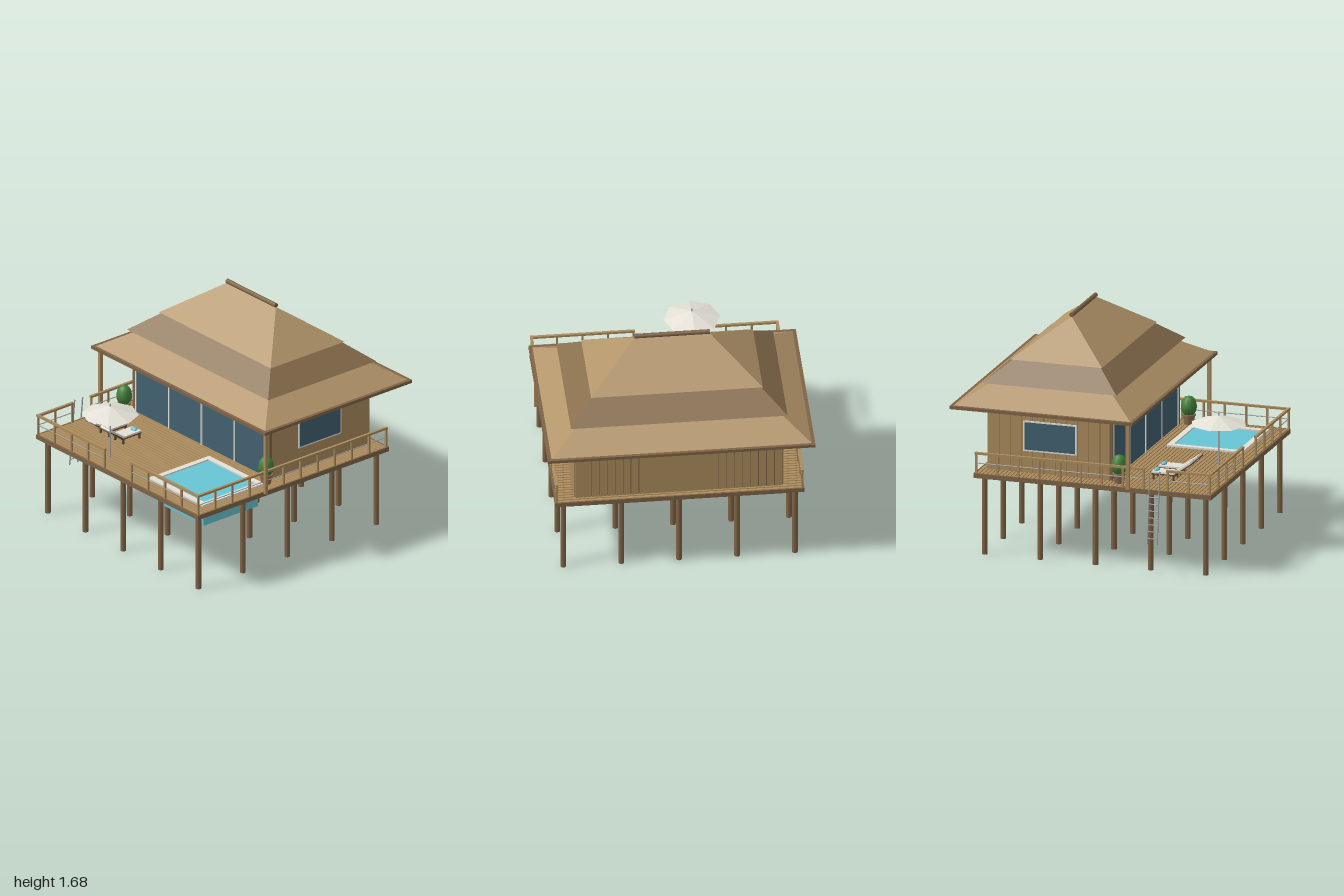
import * as THREE from 'three';

const mat = (name, color) => {
  const m = new THREE.MeshStandardMaterial({ color });
  m.name = name;
  return m;
};

export function createModel() {
  const thatch = mat('thatch', 0xb29469);
  const darkThatch = mat('dark thatch', 0x886e4c);
  const wood = mat('tan wood', 0xac8c5d);
  const darkWood = mat('brown wood', 0x7f6446);
  const espresso = mat('dark brown slats', 0x614632);
  const white = mat('off white', 0xe4e0d6);
  const glass = mat('blue glass', 0x426171);
  const water = mat('pool water', 0x67c4d4);
  const green = mat('leaf green', 0x437f38);
  const metal = mat('grey metal', 0xa2a4a6);
  white.side = THREE.DoubleSide;

  const model = new THREE.Group();
  model.name = 'stiltVilla';
  const group = (name) => {
    const g = new THREE.Group();
    g.name = name;
    model.add(g);
    return g;
  };
  const add = (parent, name, geo, m, x = 0, y = 0, z = 0) => {
    const mesh = new THREE.Mesh(geo, m);
    mesh.name = name;
    mesh.position.set(x, y, z);
    parent.add(mesh);
    return mesh;
  };
  // box given by its lower and upper limits
  const box = (parent, name, m, x0, x1, y0, y1, z0, z1) =>
    add(parent, name, new THREE.BoxGeometry(x1 - x0, y1 - y0, z1 - z0), m, (x0 + x1) / 2, (y0 + y1) / 2, (z0 + z1) / 2);
  // round bar between two points
  const bar = (parent, name, m, a, b, r, sides = 8) => {
    const p = new THREE.Vector3(...a), q = new THREE.Vector3(...b);
    const mesh = add(parent, name, new THREE.CylinderGeometry(r, r, p.distanceTo(q), sides), m);
    mesh.position.copy(p).add(q).multiplyScalar(0.5);
    mesh.quaternion.setFromUnitVectors(new THREE.Vector3(0, 1, 0), q.sub(p).normalize());
    return mesh;
  };

  // Stilts, with beams along the outer and middle rows
  const stilts = group('stilts');
  const pileX = [-0.83, -0.415, 0.003, 0.417, 0.834], pileZ = [0.89, 0.475, 0.06, -0.357, -0.775];
  pileX.forEach((x, i) => {
    for (const z of pileZ) {
      if (x === 0.417 && z === 0.475) continue; // the pool hangs here
      add(stilts, 'stilt', new THREE.CylinderGeometry(0.021, 0.021, 0.58, 12), darkWood, x, 0.29, z);
    }
    if (i % 2 === 0) box(stilts, 'beam', darkWood, x - 0.018, x + 0.018, 0.565, 0.585, -0.82, 0.93);
  });

  // Deck: brown core around the pool opening, with planks showing above and below
  const DX0 = -0.892, DX1 = 0.898, DZ0 = -0.84, DZ1 = 0.95;
  const PX0 = 0.235, PX1 = 0.775, PZ0 = 0.283, PZ1 = 0.792;
  const deck = group('deck');
  const core = (x0, x1, z0, z1) => box(deck, 'deckCore', darkWood, x0, x1, 0.583, 0.604, z0, z1);
  core(DX0, PX0, DZ0, DZ1);
  core(PX1, DX1, DZ0, DZ1);
  core(PX0, PX1, DZ0, PZ0);
  core(PX0, PX1, PZ1, DZ1);
  const rows = 60, pitch = (DZ1 - DZ0 - 0.024) / rows;
  for (let i = 0; i < rows; i++) {
    const z0 = DZ0 + 0.012 + i * pitch, z1 = z0 + pitch - 0.007;
    const cut = z1 > PZ0 && z0 < PZ1;
    const spans = cut ? [[DX0 + 0.012, PX0], [PX1, DX1 - 0.012]] : [[DX0 + 0.012, DX1 - 0.012]];
    for (const [a, b] of spans) box(deck, 'deckPlank', wood, a, b, 0.579, 0.61, z0, z1);
  }
  for (const [a, b, c, d] of [[DX0, DX0 + 0.012, DZ0, DZ1], [DX1 - 0.012, DX1, DZ0, DZ1],
    [DX0, DX1, DZ0, DZ0 + 0.012], [DX0, DX1, DZ1 - 0.012, DZ1]])
    box(deck, 'deckEdge', darkWood, a, b, 0.577, 0.611, c, d);

  // Pool hung through the deck, with a pale rim
  const pool = group('pool');
  box(pool, 'poolTank', water, PX0, PX1, 0.442, 0.612, PZ0, PZ1);
  const rim = (x0, x1, z0, z1) => box(pool, 'poolRim', white, x0, x1, 0.606, 0.622, z0, z1);
  rim(0.198, 0.24, 0.25, 0.82);
  rim(0.76, 0.803, 0.25, 0.82);
  rim(0.24, 0.76, 0.25, 0.292);
  rim(0.24, 0.76, 0.777, 0.82);

  // Railings: posts, a wooden top rail and a thin middle rail
  const railings = group('railings');
  const railing = (ax, az, bx, bz, bays) => {
    const t = 0.007;
    for (let i = 0; i <= bays; i++) {
      const x = ax + (bx - ax) * i / bays, z = az + (bz - az) * i / bays;
      box(railings, 'railPost', wood, x - t, x + t, 0.61, 0.755, z - t, z + t);
    }
    const [x0, x1, z0, z1] = [Math.min(ax, bx), Math.max(ax, bx), Math.min(az, bz), Math.max(az, bz)];
    box(railings, 'topRail', wood, x0 - 0.01, x1 + 0.01, 0.752, 0.768, z0 - 0.01, z1 + 0.01);
    bar(railings, 'middleRail', metal, [ax, 0.687, az], [bx, 0.687, bz], 0.004, 6);
  };
  railing(-0.88, 0.938, -0.145, 0.938, 4);
  railing(0.153, 0.938, 0.886, 0.938, 4);
  railing(0.886, 0.938, 0.886, -0.822, 11);
  railing(-0.88, 0.938, -0.88, 0.62, 2);
  railing(-0.88, 0.44, -0.88, -0.822, 8);

  // Ladder leaning on the open side
  const ladder = group('ladder');
  const ladderX = (y) => -0.967 + (y - 0.23) * 0.105;
  for (const z of [0.495, 0.57])
    bar(ladder, 'ladderRail', metal, [ladderX(0.23), 0.23, z], [ladderX(0.76), 0.76, z], 0.005);
  for (let y = 0.27; y < 0.62; y += 0.05)
    bar(ladder, 'rung', metal, [ladderX(y), y, 0.495], [ladderX(y), y, 0.57], 0.004, 6);

  // House body, boarded on the sides and back
  const house = group('house');
  const HX0 = -0.74, HX1 = 0.748, HZ0 = -0.778, HZ1 = 0.15;
  box(house, 'wallCore', darkWood, HX0, HX1, 0.605, 1.095, HZ0, HZ1);
  const backN = 26, bw = (HX1 - HX0) / backN;
  for (let i = 0; i < backN; i++) {
    if (i > 7 && i < 18) continue; // smooth panel in the middle
    box(house, 'backBoard', wood, HX0 + i * bw + 0.003, HX0 + (i + 1) * bw - 0.003, 0.61, 1.085, HZ0 - 0.008, HZ0 + 0.01);
  }
  box(house, 'backPanel', wood, HX0 + 8 * bw + 0.003, HX0 + 18 * bw - 0.003, 0.61, 1.085, HZ0 - 0.008, HZ0 + 0.01);
  const sideN = 11, sw = (HZ1 - HZ0) / sideN;
  for (const x of [HX0, HX1]) {
    const out = Math.sign(x);
    for (let i = 0; i < sideN; i++)
      box(house, 'sideBoard', wood, x - 0.008, x + 0.008, 0.61, 1.085, HZ0 + i * sw + 0.002, HZ0 + (i + 1) * sw - 0.002);
    box(house, 'windowFrame', white, x + out * 0.01 - 0.006, x + out * 0.01 + 0.006, 0.772, 0.997, -0.51, -0.108);
    box(house, 'windowPane', glass, x + out * 0.014 - 0.004, x + out * 0.014 + 0.004, 0.783, 0.986, -0.498, -0.12);
    box(house, 'cornerPost', darkWood, x - 0.012, x + 0.012, 0.61, 1.09, HZ1 - 0.012, HZ1 + 0.012);
  }
  box(house, 'header', darkWood, HX0, HX1, 1.062, 1.09, HZ1 - 0.01, HZ1 + 0.014);

  // Glass front with pale frames
  box(house, 'glassFront', glass, -0.72, 0.728, 0.612, 1.05, HZ1, HZ1 + 0.006);
  box(house, 'glassHead', white, -0.728, 0.736, 1.045, 1.062, HZ1, HZ1 + 0.014);
  for (const x of [-0.72, -0.358, 0.004, 0.366, 0.728])
    box(house, 'mullion', white, x - 0.006, x + 0.006, 0.61, 1.05, HZ1, HZ1 + 0.012);
  for (const x of [-0.91, 0.917])
    box(house, 'porchPost', wood, x - 0.012, x + 0.012, 0.605, 1.095, 0.318, 0.342);

  // Hipped roof in three tiers
  const roof = group('roof');
  roof.position.set(0.005, 0, -0.311);
  const tier = (name, m, [ax, az, ay], [bx, bz, by]) => {
    const ring = (x, y, z) => [[-x, y, z], [x, y, z], [x, y, -z], [-x, y, -z]];
    const lo = ring(ax, ay, az), hi = ring(bx, by, bz), pos = [];
    const quad = (a, b, c, d) => pos.push(...a, ...b, ...c, ...a, ...c, ...d);
    for (let i = 0; i < 4; i++) quad(lo[i], lo[(i + 1) % 4], hi[(i + 1) % 4], hi[i]);
    quad(...lo.slice().reverse());
    const geo = new THREE.BufferGeometry();
    geo.setAttribute('position', new THREE.Float32BufferAttribute(pos, 3));
    geo.computeVertexNormals();
    add(roof, name, geo, m);
  };
  box(roof, 'eavesBoard', darkWood, -0.96, 0.96, 1.092, 1.115, -0.689, 0.689);
  box(roof, 'soffit', white, -0.945, 0.945, 1.088, 1.094, -0.674, 0.674);
  tier('lowerRoof', thatch, [0.942, 0.674, 1.11], [0.69, 0.42, 1.27]);
  tier('middleRoof', darkThatch, [0.778, 0.507, 1.253], [0.59, 0.32, 1.405]);
  tier('upperRoof', thatch, [0.617, 0.346, 1.398], [0.27, 0.002, 1.652]);
  bar(roof, 'ridgeCap', darkWood, [-0.271, 1.665, 0], [0.271, 1.665, 0], 0.017, 12);

  // Parasol
  const parasol = group('parasol');
  parasol.position.set(-0.252, 0, 0.795);
  const canopy = new THREE.ConeGeometry(0.205, 0.062, 8, 1, true).toNonIndexed();
  canopy.computeVertexNormals();
  add(parasol, 'canopy', canopy, white, 0, 0.987, 0);
  add(parasol, 'pole', new THREE.CylinderGeometry(0.006, 0.006, 0.43, 8), metal, 0, 0.822, 0);

  // Two sun loungers with raised backs and rolled towels
  for (const x of [-0.571, -0.413]) {
    const lounger = group('lounger');
    lounger.position.set(x, 0, 0);
    box(lounger, 'loungerFrame', espresso, -0.052, 0.052, 0.646, 0.655, 0.412, 0.59);
    box(lounger, 'seatCushion', white, -0.05, 0.05, 0.655, 0.668, 0.41, 0.585);
    const back = new THREE.Group();
    back.name = 'loungerBack';
    back.position.set(0, 0.65, 0.578);
    back.rotation.x = -0.62;
    lounger.add(back);
    box(back, 'backFrame', espresso, -0.055, 0.055, -0.004, 0.005, 0, 0.165);
    box(back, 'backCushion', white, -0.052, 0.052, 0.005, 0.019, 0, 0.163);
    for (const lx of [-0.046, 0.046]) for (const lz of [0.425, 0.575])
      box(lounger, 'loungerLeg', espresso, lx - 0.006, lx + 0.006, 0.61, 0.648, lz - 0.006, lz + 0.006);
    const towel = add(lounger, 'towel', new THREE.SphereGeometry(1, 14, 8), water, 0, 0.673, 0.437);
    towel.scale.set(0.033, 0.013, 0.021);
  }

  // Potted shrubs
  for (const x of [-0.777, 0.79]) {
    const plant = group('pottedShrub');
    plant.position.set(x, 0, 0.22);
    add(plant, 'pot', new THREE.CylinderGeometry(0.045, 0.035, 0.066, 14), darkThatch, 0, 0.643, 0);
    add(plant, 'potRim', new THREE.CylinderGeometry(0.049, 0.049, 0.012, 14), darkThatch, 0, 0.677, 0);
    const leaf = [[0, 0.672], [0.035, 0.682], [0.054, 0.71], [0.058, 0.74], [0.05, 0.78], [0.032, 0.808], [0, 0.82]];
    add(plant, 'foliage', new THREE.LatheGeometry(leaf.map((p) => new THREE.Vector2(...p)), 14), green);
  }
  return model;
}
